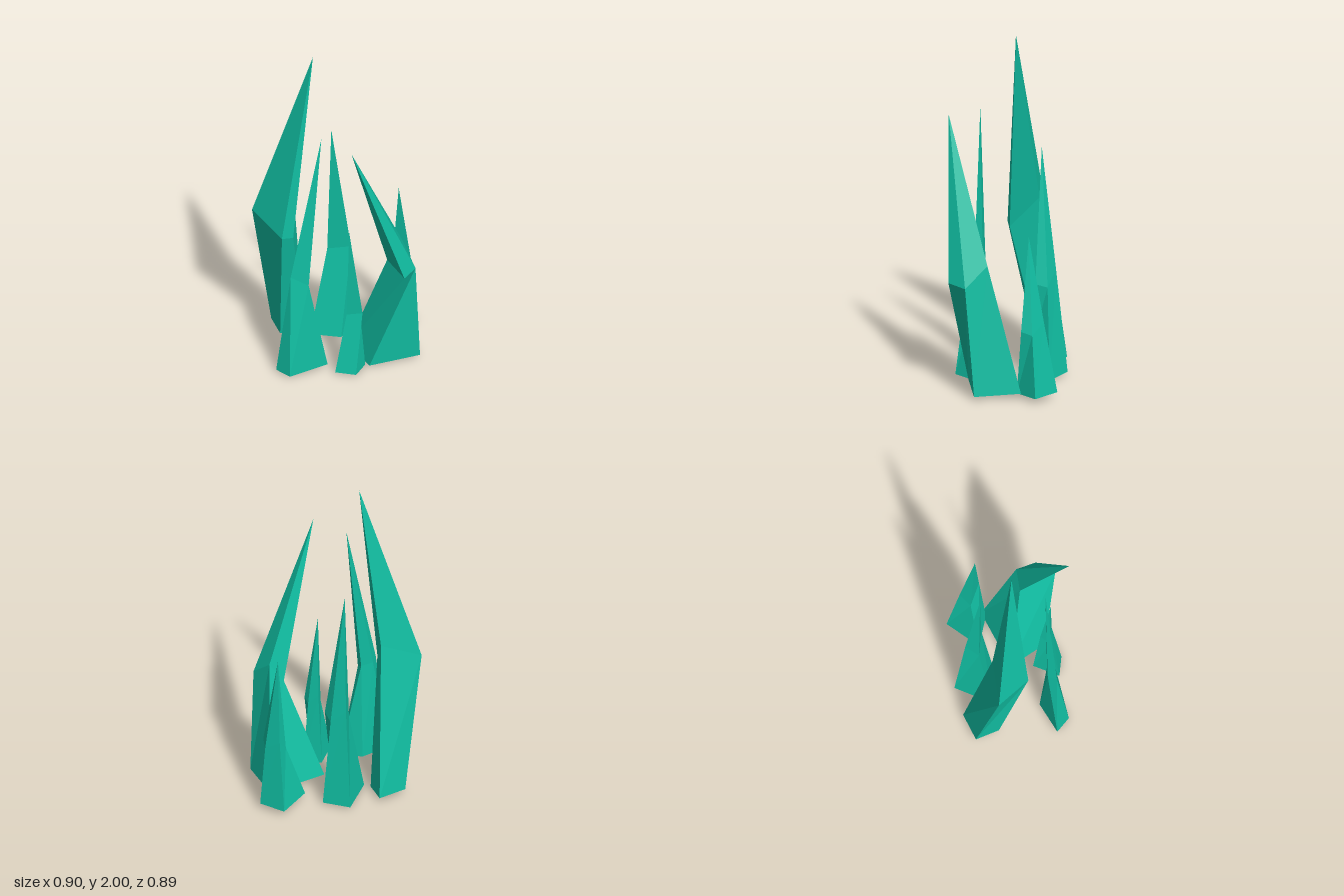
import * as THREE from 'three';

const material = new THREE.MeshStandardMaterial({ color: 0x11bfa3, flatShading: true });

// A four-sided shard: base ring, shoulder ring and tip, rings running counter-clockwise from above
function shard(name, base, shoulder, tip) {
  const positions = [];
  const tri = (...corners) => corners.forEach((c) => positions.push(...c));
  for (let i = 0; i < 4; i++) {
    const j = (i + 1) % 4;
    tri(base[i], base[j], shoulder[j]);
    tri(base[i], shoulder[j], shoulder[i]);
    tri(shoulder[i], shoulder[j], tip);
  }
  tri(base[0], base[2], base[1]);
  tri(base[0], base[3], base[2]);
  const geometry = new THREE.BufferGeometry();
  geometry.setAttribute('position', new THREE.Float32BufferAttribute(positions, 3));
  geometry.computeVertexNormals();
  const mesh = new THREE.Mesh(geometry, material);
  mesh.name = name;
  return mesh;
}

export function createModel() {
  const group = new THREE.Group();
  group.name = 'crystalCluster';
  group.add(
    // Tallest shard, at the back
    shard('tallBackCrystal',
      [[-0.125, 0.04, -0.447], [-0.19, 0.03, -0.32], [-0.05, 0.025, -0.26], [0.025, 0.035, -0.375]],
      [[-0.29, 0.88, -0.445], [-0.308, 0.8, -0.2], [-0.246, 0.79, -0.17], [-0.117, 0.98, -0.285]],
      [-0.127, 2, -0.127]),
    // Broad leaning shard, at the front
    shard('leaningFrontCrystal',
      [[-0.065, 0.01, 0.25], [0.195, 0.02, 0.4], [0.33, 0.03, 0.17], [0, 0.02, 0.025]],
      [[0.012, 0.665, 0.447], [0.135, 0.66, 0.42], [0.168, 0.78, 0.287], [0.1, 0.65, 0.235]],
      [-0.235, 1.57, 0.265]),
    // Thin shard on the right side
    shard('rightCrystal',
      [[-0.45, 0.01, -0.115], [-0.45, 0.01, -0.01], [-0.22, 0.015, 0.07], [-0.27, 0.015, -0.05]],
      [[-0.345, 0.64, -0.07], [-0.397, 0.65, -0.052], [-0.325, 0.59, 0.02], [-0.3, 0.62, -0.02]],
      [-0.24, 1.57, 0.04]),
    // Upright shard behind the front one
    shard('middleCrystal',
      [[0.04, 0.005, -0.062], [0.215, 0.01, -0.115], [0.17, 0.015, -0.273], [-0.06, 0.01, -0.208]],
      [[0.135, 0.58, -0.073], [0.167, 0.555, -0.135], [0.134, 0.64, -0.218], [0.06, 0.55, -0.187]],
      [0.07, 1.375, -0.165]),
    // Short shard on the left side
    shard('leftCrystal',
      [[0.298, 0.025, 0.175], [0.448, 0.03, 0.155], [0.44, 0.035, -0.005], [0.215, 0.025, 0.008]],
      [[0.363, 0.42, 0.193], [0.408, 0.4, 0.148], [0.395, 0.46, 0.057], [0.322, 0.385, 0.066]],
      [0.33, 0.97, 0.115]),
    // Smallest shard
    shard('smallCrystal',
      [[-0.185, 0.01, 0.255], [-0.063, 0, 0.215], [-0.095, 0.01, 0.11], [-0.25, 0.015, 0.155]],
      [[-0.12, 0.4, 0.246], [-0.097, 0.385, 0.205], [-0.117, 0.45, 0.148], [-0.17, 0.38, 0.17]],
      [-0.165, 0.95, 0.185]),
  );
  return group;
}
